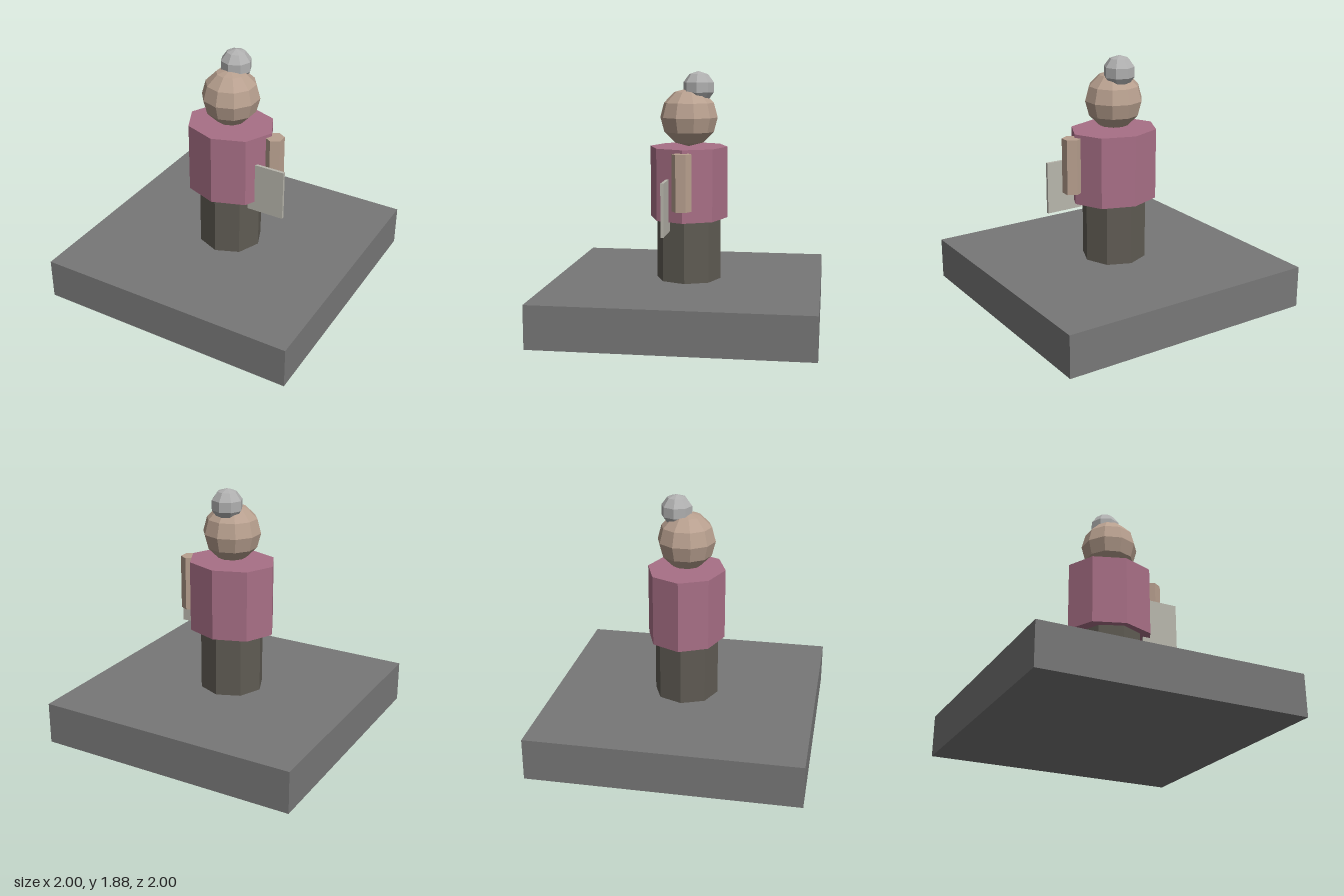
import * as THREE from 'three';

const BASE_TOP = 0.315;

// Flat-shaded coloured part placed at a point
function part(name, geometry, color, x, y, z) {
  const material = new THREE.MeshStandardMaterial({ color, flatShading: true });
  const mesh = new THREE.Mesh(geometry, material);
  mesh.name = name;
  mesh.position.set(x, y, z);
  return mesh;
}

// Upright prism standing from y0 to y1
function prism(name, radius, sides, y0, y1, color, x = 0) {
  const geometry = new THREE.CylinderGeometry(radius, radius, y1 - y0, sides);
  return part(name, geometry, color, x, (y0 + y1) / 2, 0);
}

export function createModel() {
  const group = new THREE.Group();
  const skin = 0xb8a08f;

  // Square plinth
  group.add(part('base', new THREE.BoxGeometry(2, BASE_TOP, 2), 0x777777, 0, BASE_TOP / 2, 0));

  // Body: octagonal skirt and a wider torso flattened front to back
  group.add(prism('skirt', 0.243, 8, BASE_TOP, 0.785, 0x5f5b53));
  const torso = prism('torso', 0.34, 8, 0.785, 1.32, 0xa86f86);
  torso.scale.z = 0.86;
  group.add(torso);

  // Ten-sided head with corners facing front and back
  const head = part('head', new THREE.SphereGeometry(0.217, 10, 6), skin, 0, 1.537, 0);
  head.rotation.y = Math.PI / 2;
  group.add(head);

  // Hair bun behind the crown
  group.add(part('hairBun', new THREE.SphereGeometry(0.12, 8, 5), 0xb0b0b0, 0, 1.76, -0.073));

  // Left arm and the thin board in front of it
  group.add(prism('leftArm', 0.073, 6, 0.88, 1.295, skin, 0.365));
  group.add(part('board', new THREE.BoxGeometry(0.29, 0.39, 0.022), 0xb8b6ac, 0.365, 0.905, 0.12));

  return group;
}
